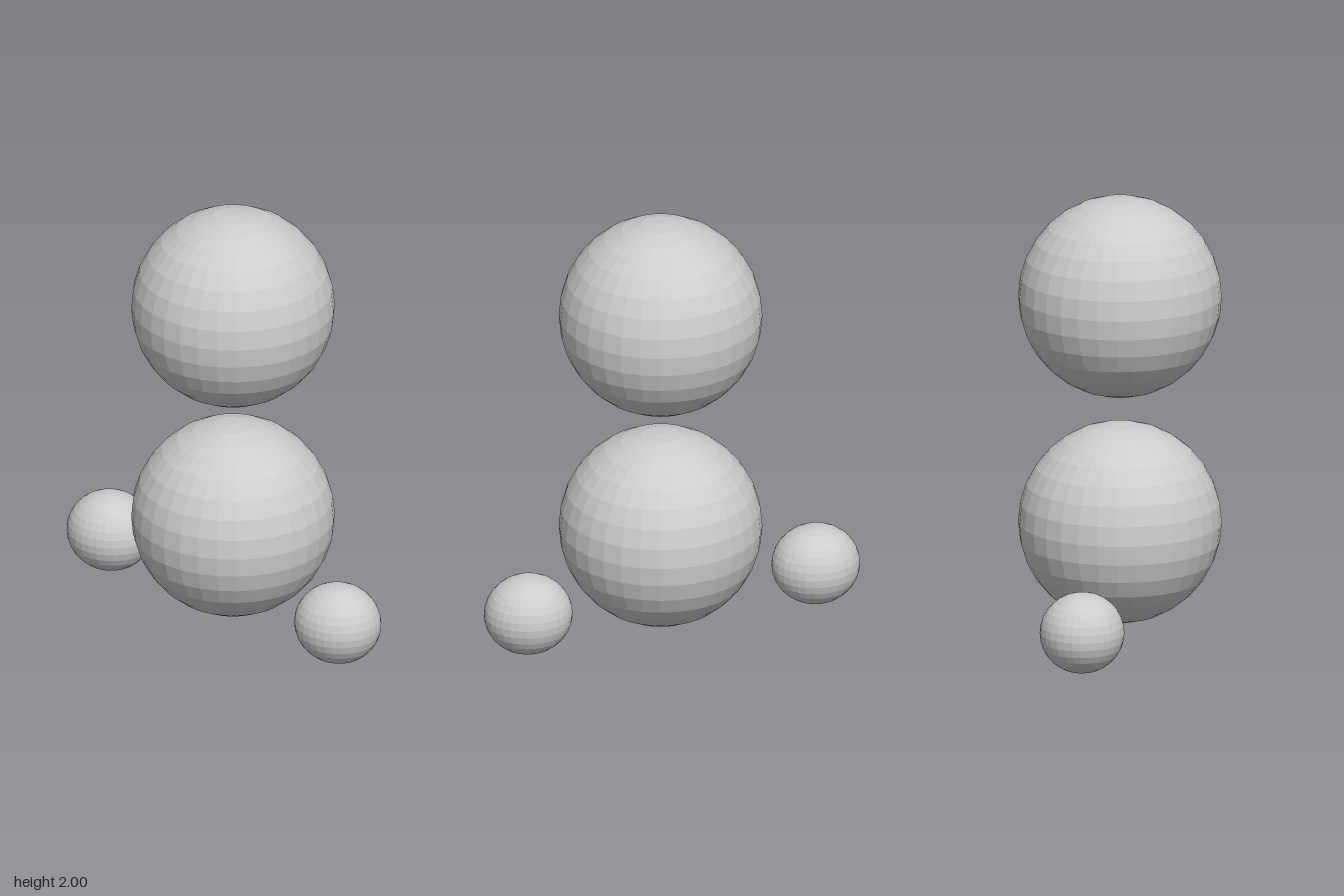
import * as THREE from 'three';

export function createModel() {
  const model = new THREE.Group();
  const material = new THREE.MeshStandardMaterial({ color: 0xcccccc, flatShading: true });
  const unitSphere = new THREE.SphereGeometry(1, 32, 16);

  const addBall = (name, position, radii) => {
    const ball = new THREE.Mesh(unitSphere, material);
    ball.name = name;
    ball.position.set(...position);
    ball.scale.set(...radii);
    model.add(ball);
  };

  // Two large balls stacked with a gap, slightly off centre
  addBall('upperBall', [0.055, 1.545, 0], [0.455, 0.455, 0.455]);
  addBall('lowerBall', [0.055, 0.505, 0], [0.455, 0.455, 0.455]);

  // Small squashed balls on either side, resting on the ground
  for (const [name, side] of [['leftSmallBall', 1], ['rightSmallBall', -1]]) {
    addBall(name, [side * 0.693, 0.182, 0], [0.2, 0.182, 0.189]);
  }

  return model;
}
